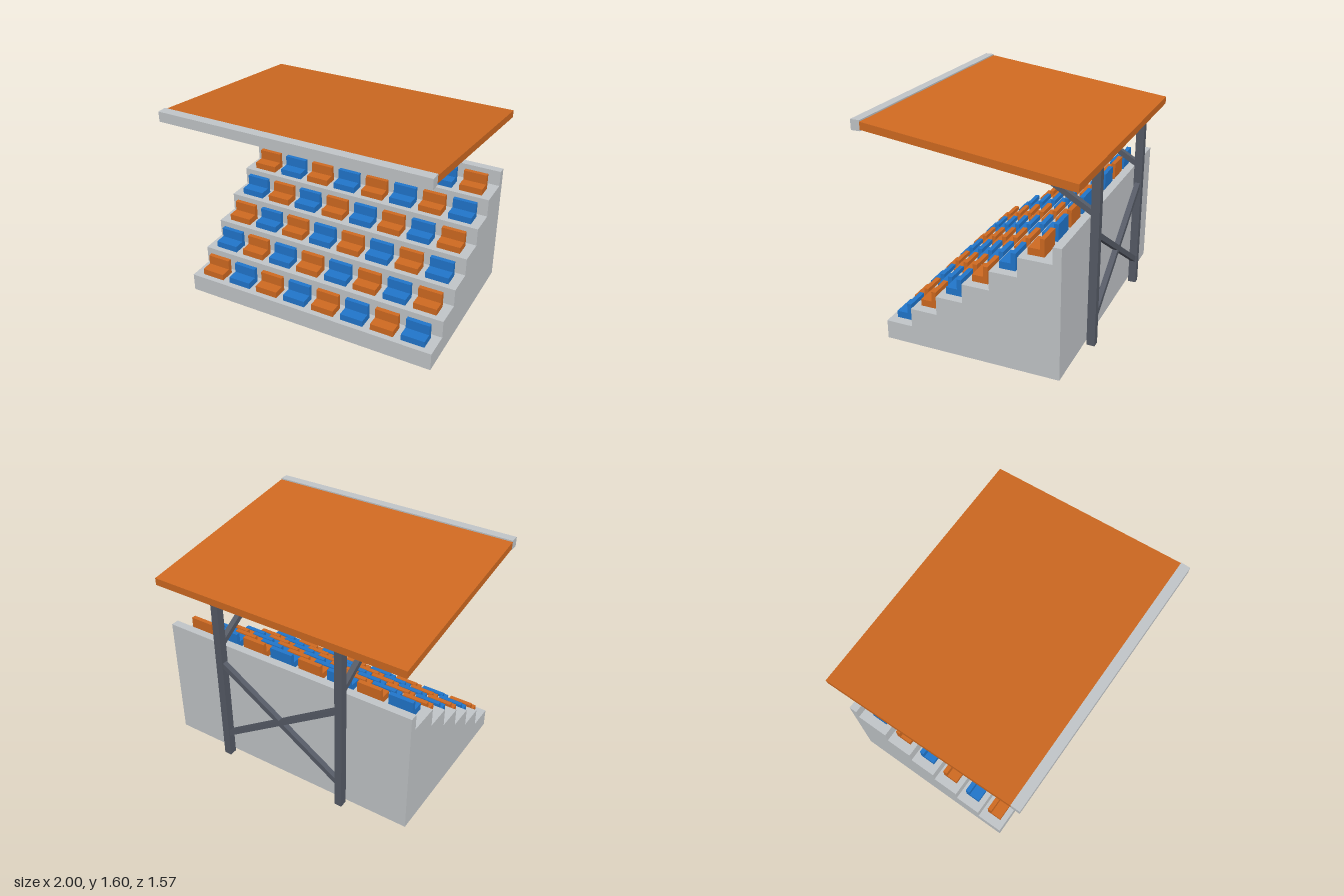
import * as THREE from 'three';

const mat = (name, color) => {
  const m = new THREE.MeshStandardMaterial({ color });
  m.name = name;
  return m;
};

export function createModel() {
  const concrete = mat('concrete', 0xc2c6c9);
  const orange = mat('orange', 0xd06a21);
  const blue = mat('blue', 0x2176cc);
  const steel = mat('steel', 0x565b66);

  const model = new THREE.Group();
  model.name = 'grandstand';

  const add = (name, geometry, material, parent = model) => {
    const mesh = new THREE.Mesh(geometry, material);
    mesh.name = name;
    parent.add(mesh);
    return mesh;
  };

  // Extrudes a side profile of [z, y] points along x, centred on x = 0
  const sideExtrude = (points, width) => {
    const shape = new THREE.Shape(points.map(([z, y]) => new THREE.Vector2(-z, y)));
    return new THREE.ExtrudeGeometry(shape, { depth: width, bevelEnabled: false })
      .translate(0, 0, -width / 2)
      .rotateY(Math.PI / 2);
  };

  // Square bar between two points
  const bar = (name, a, b, size) => {
    const from = new THREE.Vector3(...a), to = new THREE.Vector3(...b);
    const mesh = add(name, new THREE.BoxGeometry(size, size, from.distanceTo(to)), steel);
    mesh.position.copy(from).lerp(to, 0.5);
    mesh.lookAt(to);
  };

  // Stepped terrace with a low wall behind the last row
  const rows = 6, rise = 0.14, run = 0.2, front = 0.615, back = -0.685;
  const profile = [[back, 0], [front, 0]];
  for (let i = 0; i < rows; i++) {
    const z = front - i * run, y = (i + 1) * rise;
    profile.push([z, y], [i < rows - 1 ? z - run : back + 0.06, y]);
  }
  profile.push([back + 0.06, 0.96], [back, 0.96]);
  add('terrace', sideExtrude(profile, 2), concrete);

  // Seats in alternating colours
  const seatGeometry = sideExtrude(
    [[0.058, 0], [0.058, 0.05], [-0.025, 0.05], [-0.025, 0.126], [-0.058, 0.126], [-0.058, 0]], 0.18);
  const seats = new THREE.Group();
  seats.name = 'seats';
  model.add(seats);
  for (let r = 0; r < rows; r++) {
    for (let c = 0; c < 8; c++) {
      const seat = add('seat', seatGeometry, (r + c) % 2 ? blue : orange, seats);
      seat.position.set(-0.84 + c * 0.24, (r + 1) * rise, 0.514 - r * run);
    }
  }

  // Sloping roof and its front edge beam
  add('roof', sideExtrude([[-0.785, 1.345], [0.717, 1.535], [0.717, 1.59], [-0.785, 1.4]], 2), orange);
  add('roofEdgeBeam', new THREE.BoxGeometry(2, 0.075, 0.07), concrete).position.set(0, 1.5625, 0.75);

  // Rear posts with roof struts
  for (const x of [-0.5, 0.5]) {
    add('post', new THREE.BoxGeometry(0.056, 1.36, 0.06), steel).position.set(x, 0.68, -0.735);
    bar('roofStrut', [x, 0.992, -0.735], [x, 1.452, 0.058], 0.04);
  }

  // Cross bracing between the posts
  for (const s of [-1, 1]) {
    bar('crossBrace', [-0.5 * s, 0.19, -0.735], [0.5 * s, 0.85, -0.735], 0.04);
  }

  return model;
}
